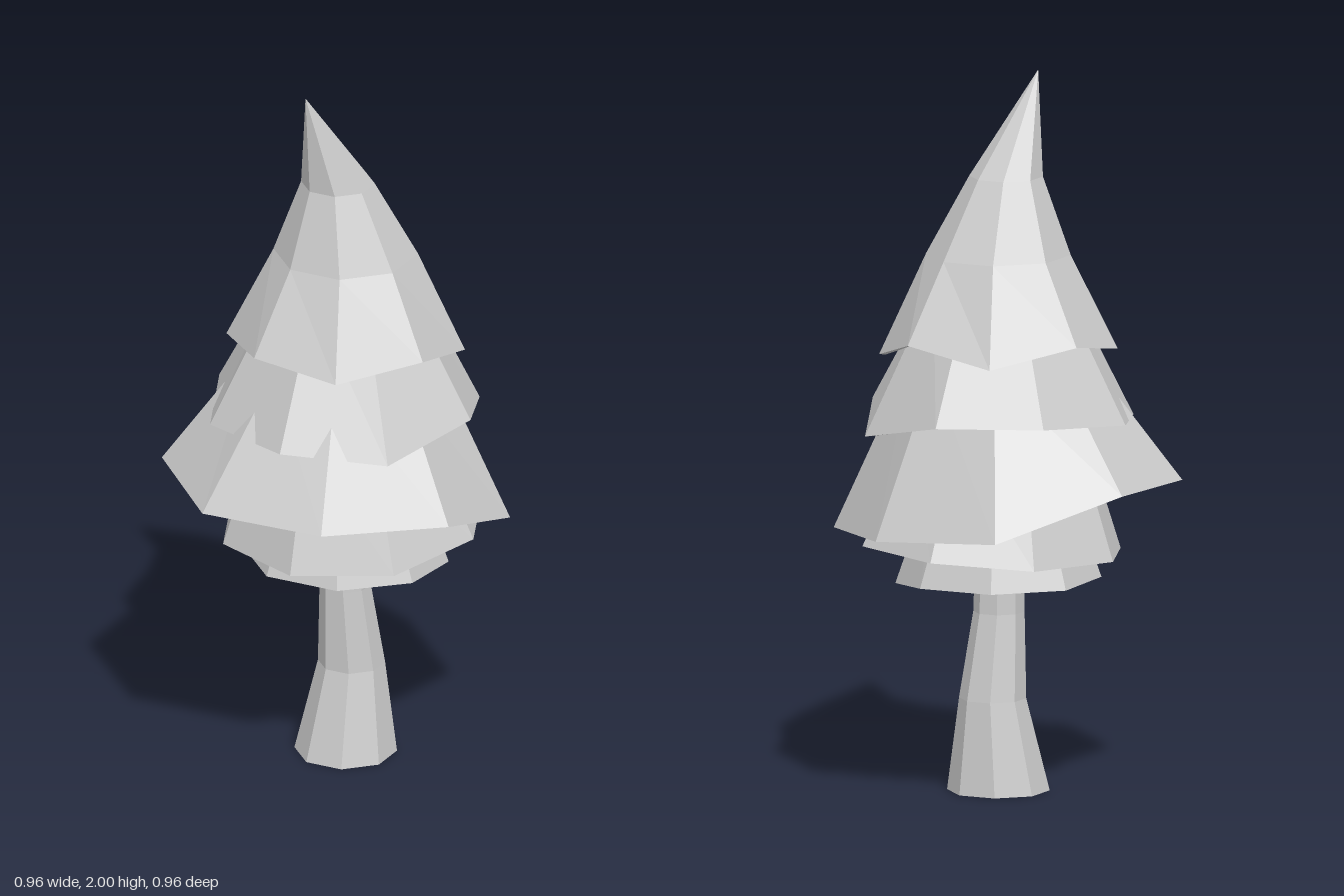
import * as THREE from 'three';

const SIDES = 8;

// Ring of points around (cx, 0); y is one height or one per corner, starting at +x and turning to +z
function ring(cx, y, r, turn = 0) {
  return Array.from({ length: SIDES }, (_, i) => {
    const a = ((i + turn) / SIDES) * Math.PI * 2;
    return new THREE.Vector3(cx + r * Math.cos(a), Array.isArray(y) ? y[i] : y, r * Math.sin(a));
  });
}

// Skin a list of rings, following the profile from its inner/bottom end to its top
function skin(rings) {
  const pos = [];
  const tri = (a, b, c) => {
    if (a.distanceTo(b) > 1e-5 && b.distanceTo(c) > 1e-5 && a.distanceTo(c) > 1e-5) {
      pos.push(...a.toArray(), ...b.toArray(), ...c.toArray());
    }
  };
  for (let i = 0; i < rings.length - 1; i++) {
    for (let j = 0; j < SIDES; j++) {
      const k = (j + 1) % SIDES;
      const [lo, hi] = [rings[i], rings[i + 1]];
      tri(lo[j], hi[j], hi[k]);
      tri(lo[j], hi[k], lo[k]);
    }
  }
  const geo = new THREE.BufferGeometry();
  geo.setAttribute('position', new THREE.Float32BufferAttribute(pos, 3));
  geo.computeVertexNormals();
  return geo;
}

// Branch tiers: uneven rim, then upper rings [cx, y, r]
const TIERS = [
  { name: 'topTier', cx: 0.025, r: 0.33, turn: 0,
    rim: [1.28, 1.215, 1.275, 1.24, 1.27, 1.24, 1.28, 1.23],
    upper: [[0.025, 1.5, 0.2], [-0.003, 1.715, 0.102], [-0.12, 2, 0]] },
  { name: 'upperTier', cx: 0.022, r: 0.39, turn: 0.5,
    rim: [1.01, 1.07, 1.015, 1.04, 1.03, 1.05, 1.07, 1.07],
    upper: [[0.022, 1.42, 0.19], [0.022, 1.42, 0]] },
  { name: 'middleTier', cx: -0.01, r: 0.482, turn: 0,
    rim: [0.745, 0.725, 0.84, 0.86, 0.855, 0.87, 0.88, 0.765],
    upper: [[0.015, 1.2, 0.25], [0.015, 1.2, 0]] },
  { name: 'lowerTier', cx: 0.05, r: 0.375, turn: 0.5,
    rim: [0.705, 0.7, 0.67, 0.66, 0.66, 0.67, 0.675, 0.695],
    upper: [[0.03, 1.0, 0.25], [0.03, 1.0, 0]] },
  { name: 'bottomTier', cx: 0.025, r: 0.285, turn: 0,
    rim: [0.595, 0.575, 0.595, 0.6, 0.6, 0.6, 0.595, 0.595],
    upper: [[0.02, 0.92, 0.17], [0.02, 0.92, 0]] },
];

export function createModel() {
  const tree = new THREE.Group();
  tree.name = 'tree';
  const grey = new THREE.MeshStandardMaterial({ color: 0xcccccc, flatShading: true });
  grey.name = 'lightGrey';

  const add = (name, rings) => {
    const mesh = new THREE.Mesh(skin(rings), grey);
    mesh.name = name;
    tree.add(mesh);
  };

  // Bent, tapering trunk with a closed foot
  add('trunk', [[0.025, 0, 0], [0.025, 0, 0.142], [0.046, 0.26, 0.093], [0.023, 0.5, 0.071],
    [0.02, 0.75, 0.065], [0.02, 0.75, 0]].map(([cx, y, r]) => ring(cx, y, r)));

  // Skirts of foliage, each hollowed out a little underneath
  for (const { name, cx, r, turn, rim, upper } of TIERS) {
    const roof = Math.max(...rim) + 0.08;
    add(name, [
      ring(cx, roof, 0, turn),
      ring(cx, roof, r * 0.76, turn),
      ring(cx, rim, r - 0.02, turn),
      ring(cx, rim, r, turn),
      ...upper.map(([x, y, ur]) => ring(x, y, ur, turn)),
    ]);
  }
  return tree;
}
